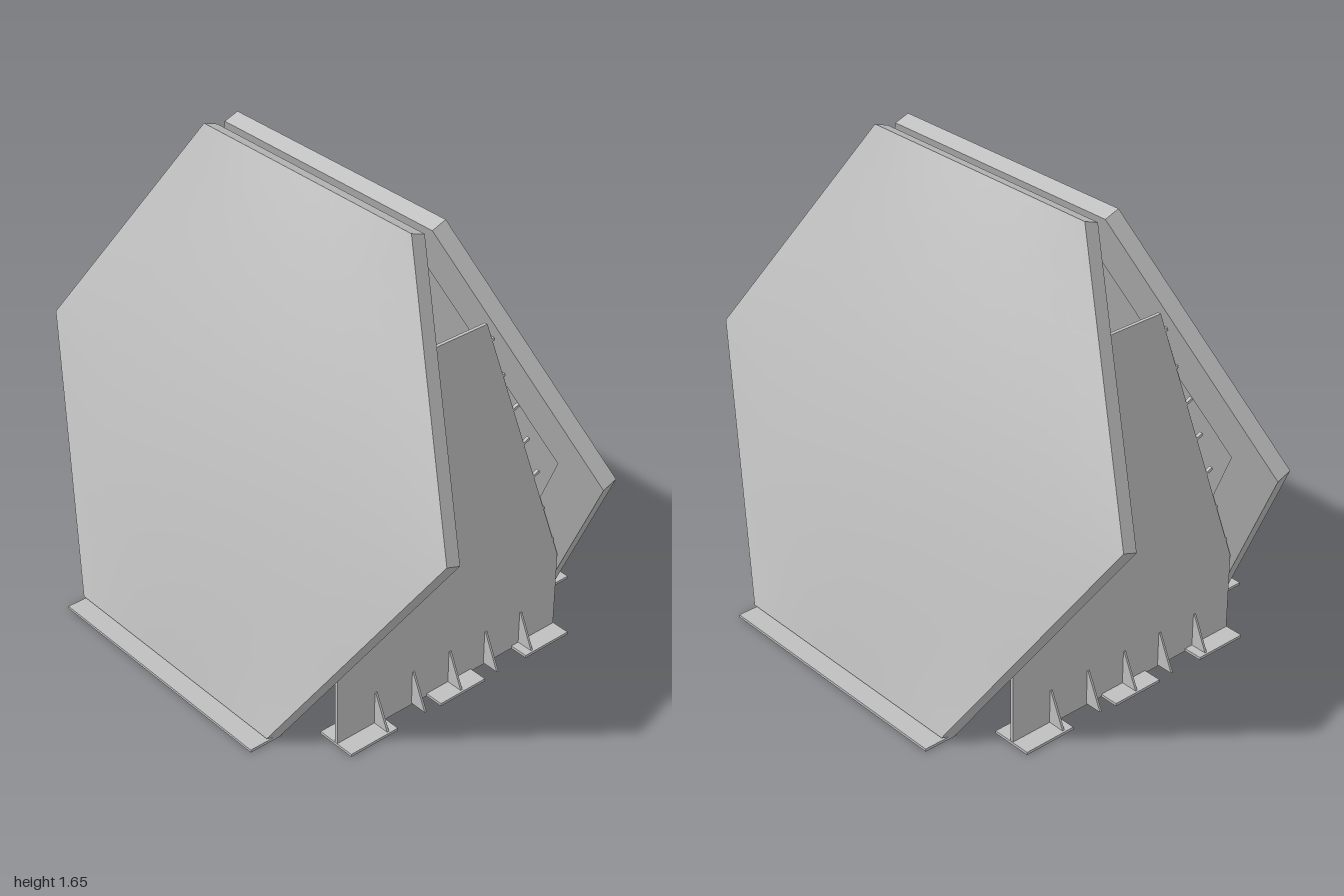
import * as THREE from 'three';
import { mergeVertices } from 'three/addons/utils/BufferGeometryUtils.js';

const TILT = Math.atan(0.358);
const THICK = 0.058;
const BULGE = 0.066;

const corner = (i, r) => {
  const a = Math.PI / 6 + (i * Math.PI) / 3;
  return new THREE.Vector2(r * Math.cos(a), r * Math.sin(a)); // (slope direction, z)
};

function hexPoints(r) {
  return [0, 1, 2, 3, 4, 5].map((i) => {
    const c = corner(i, r);
    return new THREE.Vector2(c.y, c.x);
  });
}

// Hexagonal slab lying across local x, from x0 with the given depth
function hexSlab(r, x0, depth, holeR) {
  const shape = new THREE.Shape(hexPoints(r));
  if (holeR) shape.holes.push(new THREE.Path(hexPoints(holeR)));
  const g = new THREE.ExtrudeGeometry(shape, { depth, bevelEnabled: false });
  return g.rotateY(Math.PI / 2).translate(x0, 0, 0);
}

// Softly domed outer skin that falls to zero height on all six edges
function domeGeometry() {
  const ap = Math.sqrt(3) / 2;
  const N = 8;
  const pos = [];
  const point = (p) => {
    let f = 1;
    for (let k = 0; k < 3; k++) {
      const a = (k * Math.PI) / 3;
      const d = (p.x * Math.cos(a) + p.y * Math.sin(a)) / ap;
      f *= Math.max(0, 1 - d * d);
    }
    pos.push(BULGE * Math.pow(f, 0.8), p.x, p.y);
  };
  for (let s = 0; s < 6; s++) {
    const a = corner(s, 1 / N), b = corner(s + 1, 1 / N);
    const at = (i, j) => a.clone().multiplyScalar(i).addScaledVector(b, j);
    for (let i = 0; i < N; i++) {
      for (let j = 0; i + j < N; j++) {
        [at(i, j), at(i + 1, j), at(i, j + 1)].forEach(point);
        if (i + j < N - 1) [at(i + 1, j), at(i + 1, j + 1), at(i, j + 1)].forEach(point);
      }
    }
  }
  const g = new THREE.BufferGeometry();
  g.setAttribute('position', new THREE.Float32BufferAttribute(pos, 3));
  const merged = mergeVertices(g, 1e-4);
  merged.computeVertexNormals();
  return merged;
}

// Sheet cut from x,y points, centred on z = 0
function sheet(points, t) {
  const shape = new THREE.Shape(points.map(([x, y]) => new THREE.Vector2(x, y)));
  return new THREE.ExtrudeGeometry(shape, { depth: t, bevelEnabled: false }).translate(0, 0, -t / 2);
}

export function createModel() {
  const model = new THREE.Group();
  model.name = 'leaningPanelStand';
  const grey = new THREE.MeshStandardMaterial({ color: 0xbfbfbf });
  grey.name = 'light grey';

  const add = (parent, name, geo, x = 0, y = 0, z = 0) => {
    const m = new THREE.Mesh(geo, grey);
    m.name = name;
    m.position.set(x, y, z);
    parent.add(m);
    return m;
  };

  // Two leaning hexagonal panels with their ground flanges
  const rim = hexSlab(1, -THICK, THICK, 0.8);
  const backing = hexSlab(0.81, -0.02, 0.019);
  const dome = domeGeometry();
  const flange = new THREE.BoxGeometry(0.13, 0.01, 1);
  for (const side of [1, -1]) {
    const half = new THREE.Group();
    half.name = side > 0 ? 'leftHalf' : 'rightHalf';
    if (side < 0) half.rotation.y = Math.PI;
    const panel = new THREE.Group();
    panel.name = 'panel';
    panel.position.set(0.362, 0.836, 0);
    panel.rotation.z = TILT;
    add(panel, 'panelRim', rim);
    add(panel, 'panelBacking', backing);
    add(panel, 'panelSkin', dome);
    half.add(panel);
    add(half, 'groundFlange', flange, 0.655, 0.005, 0);
    model.add(half);
  }

  // Upright support sheets with pads, gussets and edge tabs
  const edgeX = (y) => 0.598 - 0.364 * y;
  const outline = (w, y0, y1) => [
    [-w, 0], [w, 0], [edgeX(y0), y0], [edgeX(y1), y1], [-edgeX(y1), y1], [-edgeX(y0), y0],
  ];
  const outerSheet = sheet(outline(0.489, 0.3, 1.34), 0.012);
  const innerSheet = sheet(outline(0.58, 0.05, 1.56), 0.012);
  const pad = new THREE.BoxGeometry(0.2, 0.01, 0.15);
  const gusset = sheet([[-0.07, 0.005], [0.07, 0.005], [0.01, 0.135], [-0.01, 0.135]], 0.008)
    .rotateY(Math.PI / 2);
  const tab = new THREE.BoxGeometry(0.045, 0.01, 0.012);

  for (const z of [-0.65, -0.217, 0.217, 0.65]) {
    const outer = Math.abs(z) > 0.5;
    const support = new THREE.Group();
    support.name = outer ? 'outerSupport' : 'innerSupport';
    support.position.z = z;
    add(support, 'supportSheet', outer ? outerSheet : innerSheet);
    const padX = outer ? 0.39 : 0.485;
    for (const x of [-padX, 0, padX]) add(support, 'footPad', pad, x, 0.005, 0);
    for (let i = -2; i <= 2; i++) add(support, 'gusset', gusset, i * 0.163, 0, 0);
    const [start, end] = outer ? [0.375, 1.33] : [0.15, 1.52];
    for (let y = start; y < end; y += 0.15) {
      for (const s of [-1, 1]) {
        add(support, 'edgeTab', tab, s * (edgeX(y) + 0.005), y, 0).rotation.z = s * TILT;
      }
    }
    model.add(support);
  }

  // Low spine tying the supports together
  add(model, 'spine', new THREE.BoxGeometry(0.008, 0.045, 1.3), 0, 0.0225, 0);

  return model;
}
